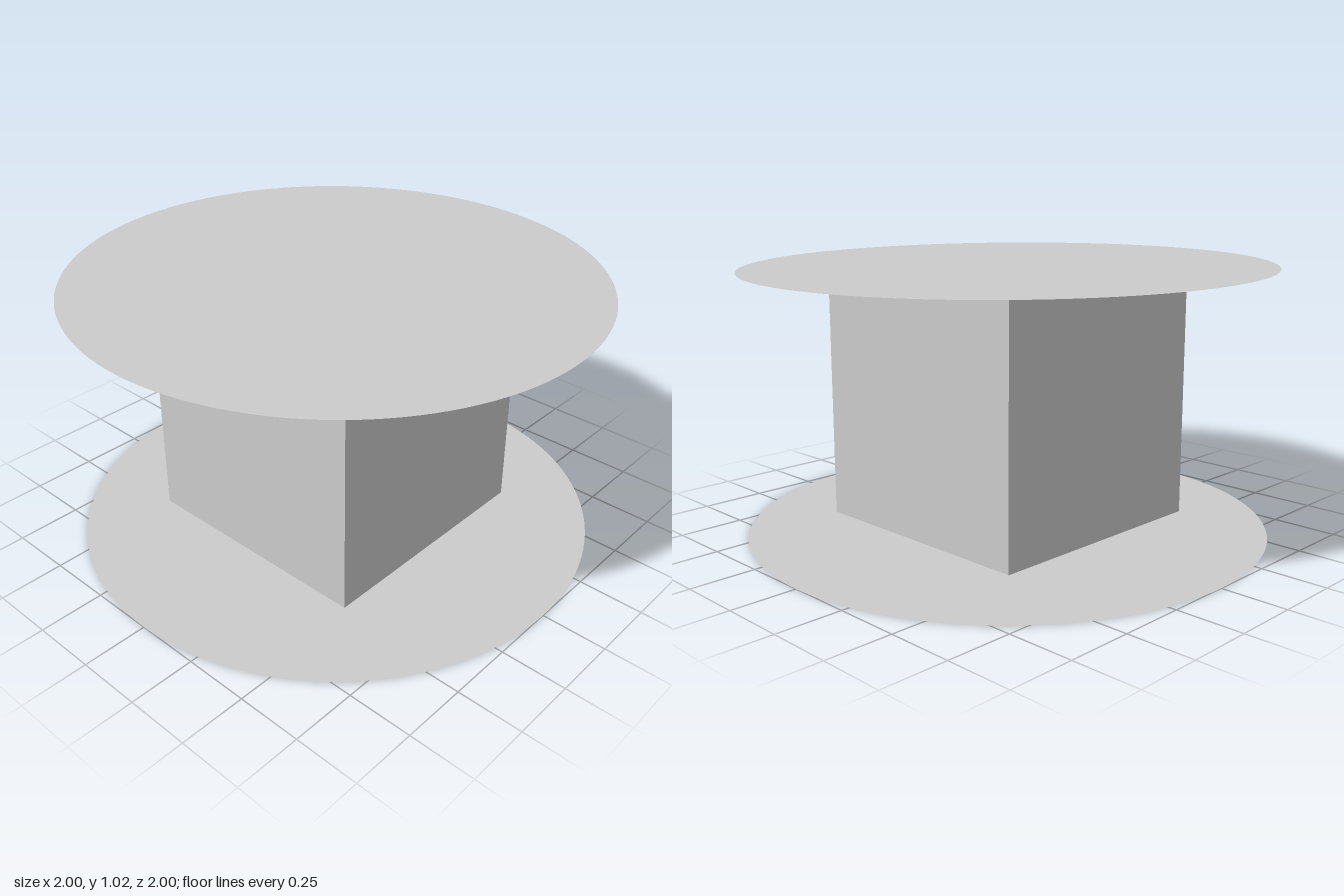
import * as THREE from 'three';

export function createModel() {
  const model = new THREE.Group();
  const solid = new THREE.MeshStandardMaterial({ color: 0xcccccc });
  const thin = new THREE.MeshStandardMaterial({ color: 0xcccccc, side: THREE.DoubleSide });

  // Paper-thin round plate, optionally tipped about x
  const plate = (name, y, tilt) => {
    const mesh = new THREE.Mesh(new THREE.CircleGeometry(1, 128).rotateX(-Math.PI / 2), thin);
    mesh.name = name;
    mesh.position.y = y;
    mesh.rotation.x = tilt;
    model.add(mesh);
  };
  plate('basePlate', 0, 0);
  plate('topPlate', 1.009, -0.0105); // front edge slightly raised

  // Cube floating between the plates
  const size = 0.957;
  const block = new THREE.Mesh(new THREE.BoxGeometry(size, size, size), solid);
  block.name = 'block';
  block.position.y = 0.035 + size / 2;
  model.add(block);

  return model;
}
